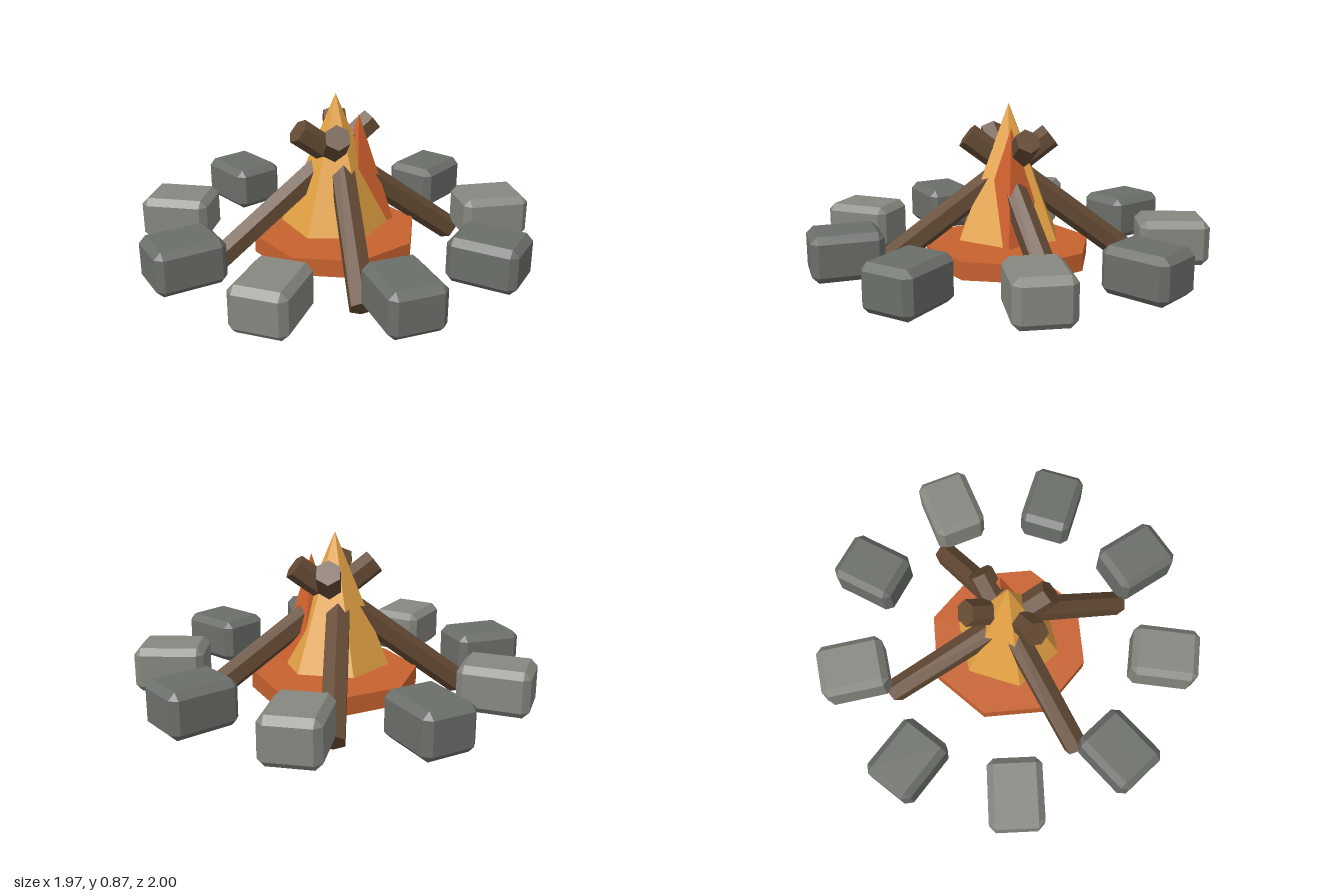
import * as THREE from 'three';
import { ConvexGeometry } from 'three/addons/geometries/ConvexGeometry.js';

const CX = -0.015; // centre of the fire

const paint = (color) => new THREE.MeshStandardMaterial({ color, flatShading: true });

// Box with chamfered edges and corners
function chamferedBox(w, h, d, c) {
  const points = [];
  for (const x of [-w / 2, w / 2])
    for (const y of [-h / 2, h / 2])
      for (const z of [-d / 2, d / 2]) {
        const ix = x - Math.sign(x) * c, iy = y - Math.sign(y) * c, iz = z - Math.sign(z) * c;
        points.push(
          new THREE.Vector3(x, iy, iz),
          new THREE.Vector3(ix, y, iz),
          new THREE.Vector3(ix, iy, z));
      }
  return new ConvexGeometry(points);
}

export function createModel() {
  const group = new THREE.Group();
  const add = (name, geometry, material, x, y, z) => {
    const mesh = new THREE.Mesh(geometry, material);
    mesh.name = name;
    mesh.position.set(x, y, z);
    group.add(mesh);
    return mesh;
  };

  // Ring of stones in two alternating greys
  const stone = chamferedBox(0.345, 0.225, 0.275, 0.033);
  const greys = [paint(0x6b6f69), paint(0x878781)];
  for (let i = 0; i < 9; i++) {
    const a = (i / 9) * Math.PI * 2;
    const mesh = add('stone', stone, greys[i % 2],
      CX + 0.823 * Math.cos(a), 0.1875, -0.823 * Math.sin(a));
    mesh.rotation.y = a;
  }

  // Ember bed
  add('emberBed', new THREE.CylinderGeometry(0.42, 0.42, 0.09, 8), paint(0xc8622f), CX, 0.12, 0);

  // Flames: a tall yellow cone and a smaller orange one poking out of its side
  add('mainFlame', new THREE.ConeGeometry(0.275, 0.665, 6), paint(0xe5a344), CX, 0.5375, 0);
  add('sideFlame',
    new THREE.ConeGeometry(0.18, 0.555, 4, 1, false, THREE.MathUtils.degToRad(28)),
    paint(0xd2622f), 0.077, 0.4825, -0.07);

  // Four leaning hexagonal logs that cross above the embers
  const bark = paint(0x644a34);
  for (const sx of [-1, 1])
    for (const sz of [-1, 1]) {
      const foot = new THREE.Vector3(CX + sx * 0.421, 0.053, sz * 0.503);
      const tip = new THREE.Vector3(CX - sx * 0.11, 0.708, -sz * 0.175);
      const log = new THREE.CylinderGeometry(0.065, 0.065, foot.distanceTo(tip), 6);
      log.rotateX(Math.PI / 2);
      const mid = foot.clone().add(tip).multiplyScalar(0.5);
      add('log', log, bark, mid.x, mid.y, mid.z).lookAt(tip);
    }

  return group;
}
